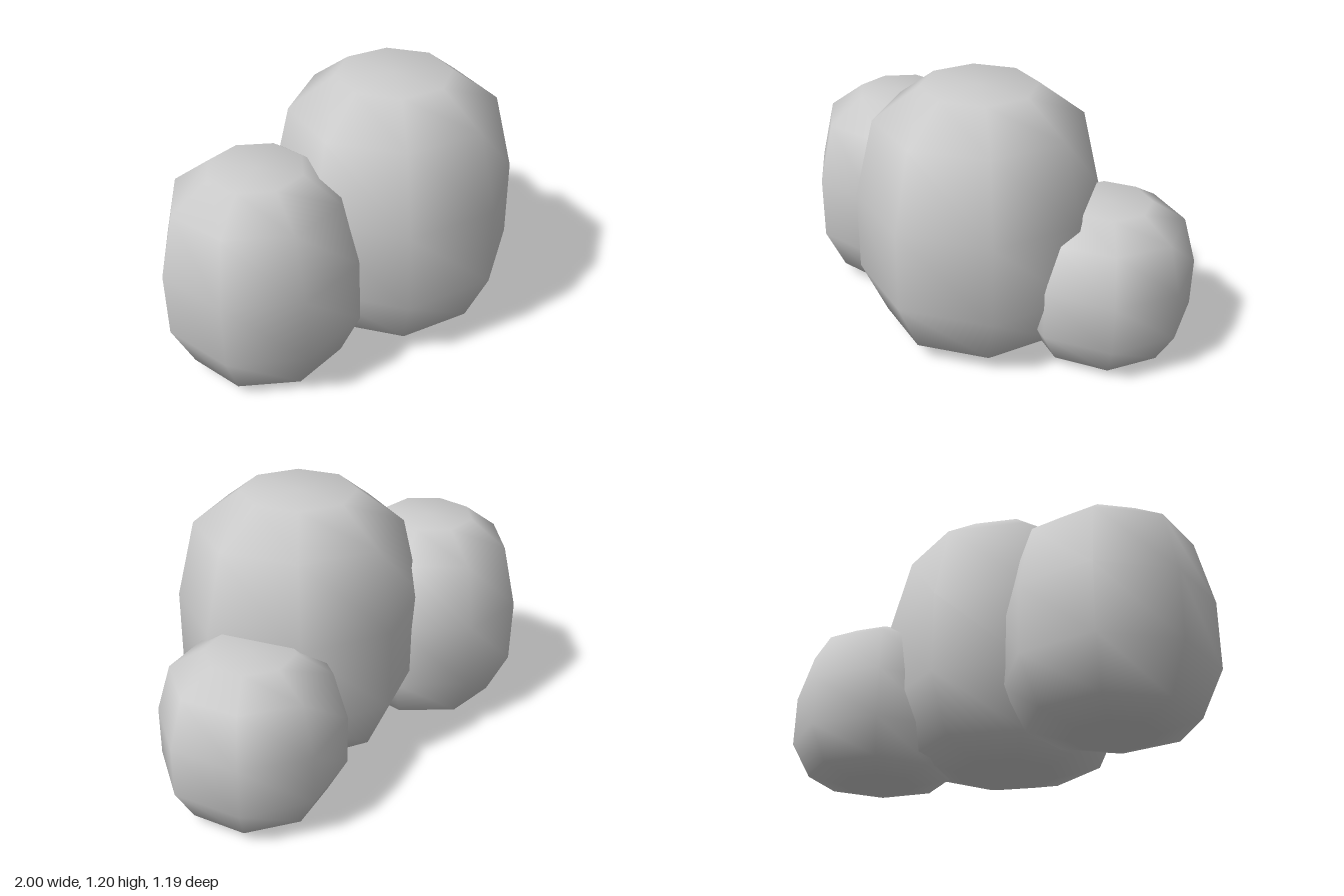
import * as THREE from 'three';

// Unit boulder profile [radius, height], from the underside to the flat crown
const PROFILE = [[0, 0], [0.43, 0], [0.79, 0.05], [1, 0.263], [1, 0.575], [0.845, 0.874], [0.473, 1], [0, 1]];

// One smooth-shaded, eight-sided boulder
function boulder(name, { x, z, base, radius, height, turn }) {
  const points = PROFILE.map(([r, y]) => new THREE.Vector2(r * radius, y * height));
  const mesh = new THREE.Mesh(
    new THREE.LatheGeometry(points, 8),
    new THREE.MeshStandardMaterial({ color: 0xcccccc })
  );
  mesh.name = name;
  mesh.position.set(x, base, z);
  mesh.rotation.y = turn;
  return mesh;
}

export function createModel() {
  const group = new THREE.Group();
  group.name = 'boulderCluster';
  group.add(
    // Tall boulder in the middle, a corner facing the front
    boulder('largeBoulder', { x: 0.07, z: 0.05, base: 0.022, radius: 0.548, height: 1.178, turn: 0 }),
    // Medium boulder, a flat side facing the front
    boulder('mediumBoulder', { x: -0.59, z: -0.16, base: 0.005, radius: 0.445, height: 0.947, turn: Math.PI / 8 }),
    // Small boulder, slightly turned
    boulder('smallBoulder', { x: 0.602, z: -0.196, base: 0.003, radius: 0.402, height: 0.713, turn: -0.11 })
  );
  return group;
}
